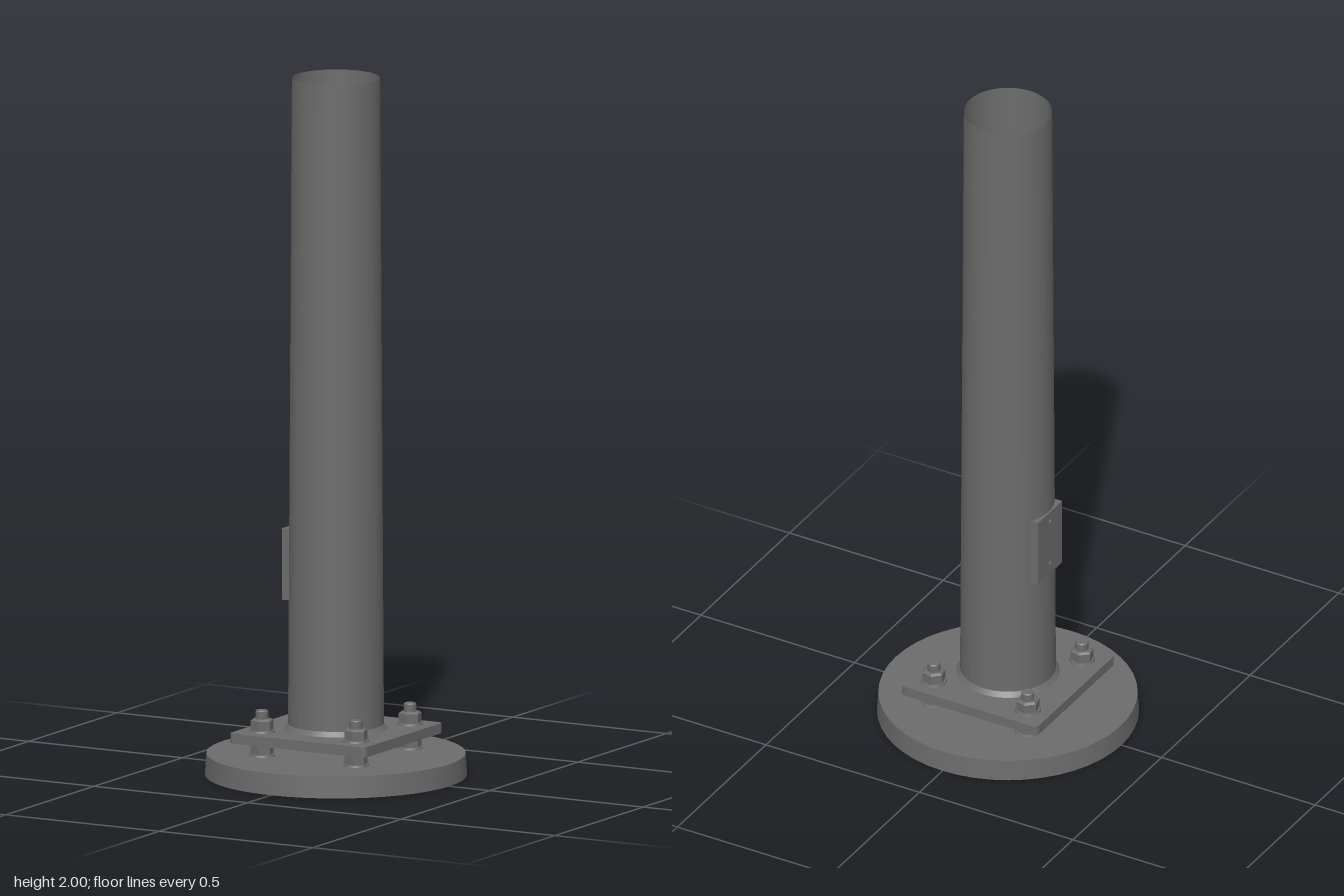
import * as THREE from 'three';

export function createModel() {
  const model = new THREE.Group();
  const steel = new THREE.MeshStandardMaterial({ color: 0x6c6c6c, side: THREE.DoubleSide });
  steel.name = 'darkSteel';

  const add = (name, geometry, x = 0, y = 0, z = 0, parent = model) => {
    const mesh = new THREE.Mesh(geometry, steel);
    mesh.name = name;
    mesh.position.set(x, y, z);
    parent.add(mesh);
    return mesh;
  };
  // Hexagonal prism or chamfer with hard edges
  const hexagon = (top, bottom, height) => {
    const g = new THREE.CylinderGeometry(top, bottom, height, 6).toNonIndexed();
    g.rotateY(0.22);
    g.computeVertexNormals();
    return g;
  };

  // Round footing: a shallow cap, hollow and open underneath
  add('footingRim', new THREE.CylinderGeometry(0.366, 0.37, 0.062, 48, 1, true), 0, 0.031, 0);
  const footingTop = new THREE.CircleGeometry(0.366, 48);
  footingTop.rotateX(-Math.PI / 2);
  add('footingTop', footingTop, 0, 0.062, 0);

  // Square base plate with rounded corners
  const h = 0.2215, r = 0.014;
  const outline = new THREE.Shape();
  outline.absarc(h - r, -h + r, r, -Math.PI / 2, 0);
  outline.absarc(h - r, h - r, r, 0, Math.PI / 2);
  outline.absarc(-h + r, h - r, r, Math.PI / 2, Math.PI);
  outline.absarc(-h + r, -h + r, r, Math.PI, Math.PI * 1.5);
  outline.closePath();
  const plate = new THREE.ExtrudeGeometry(outline, { depth: 0.029, bevelEnabled: false, curveSegments: 5 });
  plate.rotateX(-Math.PI / 2);
  add('basePlate', plate, 0, 0.104, 0);

  // Tapered hollow pole, open at the top
  add('pole', new THREE.CylinderGeometry(0.1247, 0.1354, 1.867, 48, 1, true), 0, 1.0665, 0);

  // Sloping weld around the foot of the pole
  add('weld', new THREE.CylinderGeometry(0.1352, 0.146, 0.014, 48, 1, true), 0, 0.14, 0);

  // Access cover on the right side, held by two screws
  add('accessCover', new THREE.BoxGeometry(0.033, 0.205, 0.136), -0.1205, 0.602, 0);
  for (const y of [0.533, 0.672]) {
    const screw = new THREE.CylinderGeometry(0.007, 0.007, 0.004, 12);
    screw.rotateZ(Math.PI / 2);
    add('coverScrew', screw, -0.139, y, 0);
  }

  // Four anchor bolts with flanged nuts above and below the plate
  const flange = new THREE.CylinderGeometry(0.035, 0.037, 0.006, 24);
  const nutBody = hexagon(0.033, 0.033, 0.027);
  const nutChamfer = hexagon(0.026, 0.033, 0.005);
  const stud = new THREE.CylinderGeometry(0.018, 0.018, 0.13, 16);
  const studTip = new THREE.CylinderGeometry(0.0155, 0.018, 0.003, 16);

  const makeNut = (name, y, parent) => {
    const nut = new THREE.Group();
    nut.name = name;
    nut.position.y = y;
    add('nutFlange', flange, 0, 0.003, 0, nut);
    add('nutBody', nutBody, 0, 0.0195, 0, nut);
    add('nutChamfer', nutChamfer, 0, 0.0355, 0, nut);
    parent.add(nut);
  };

  for (const x of [-0.153, 0.153]) {
    for (const z of [-0.153, 0.153]) {
      const bolt = new THREE.Group();
      bolt.name = 'anchorBolt';
      bolt.position.set(x, 0, z);
      add('stud', stud, 0, 0.127, 0, bolt);
      add('studTip', studTip, 0, 0.1935, 0, bolt);
      makeNut('upperNut', 0.133, bolt);
      makeNut('lowerNut', 0.064, bolt);
      model.add(bolt);
    }
  }
  return model;
}
